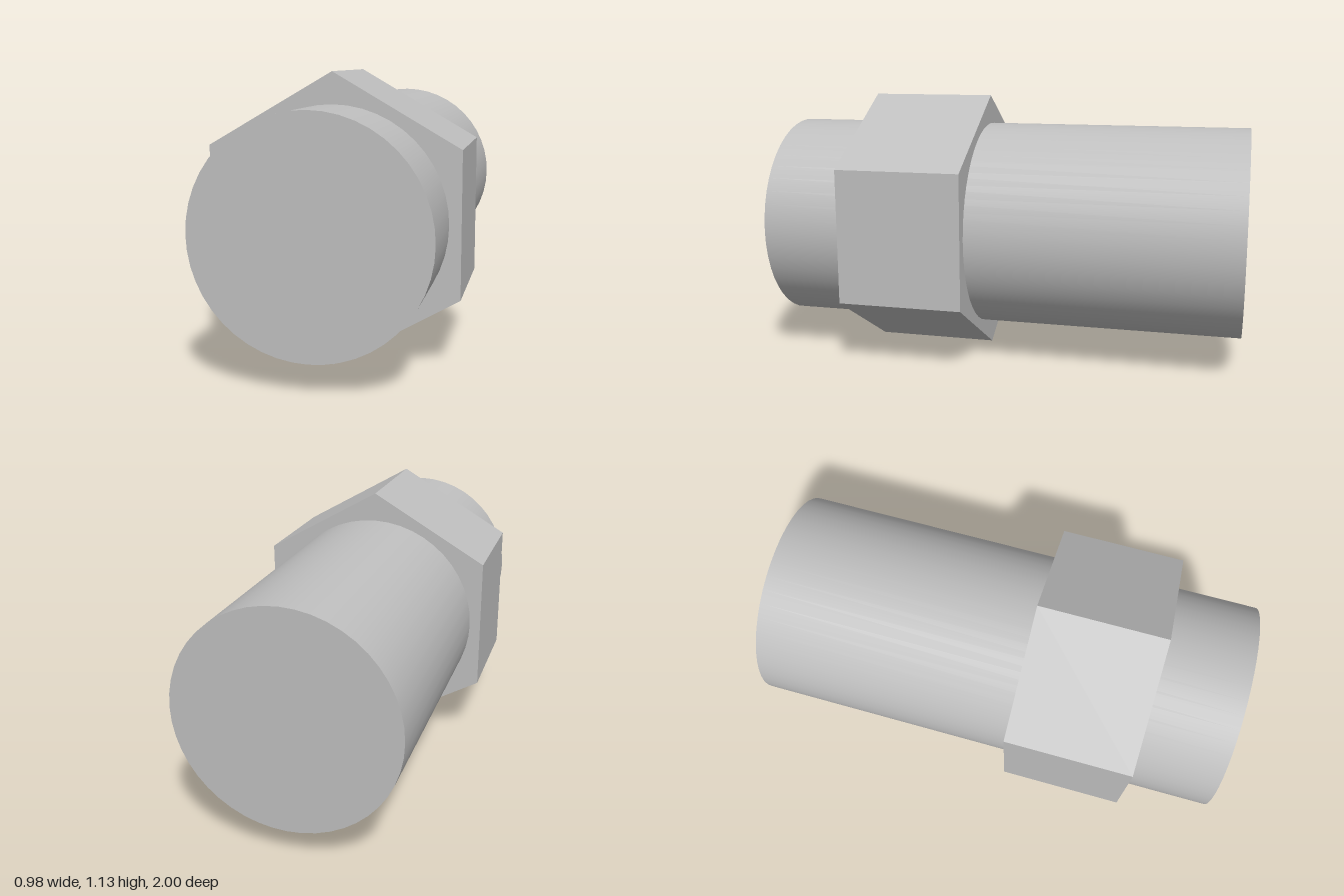
import * as THREE from 'three';

const AXIS_Y = 0.565; // height of the shared axis

// Solid prism or cylinder lying along z, from zBack to zFront
function barAlongZ(radius, zBack, zFront, sides) {
  const geometry = new THREE.CylinderGeometry(radius, radius, zFront - zBack, sides);
  geometry.rotateX(Math.PI / 2);
  geometry.translate(0, AXIS_Y, (zBack + zFront) / 2);
  return geometry;
}

export function createModel() {
  const group = new THREE.Group();
  group.name = 'hexCollarFitting';
  const steel = new THREE.MeshStandardMaterial({ color: 0xbfbfbf });
  steel.name = 'steelGrey';

  // Round shaft running the full length
  const shaft = new THREE.Mesh(barAlongZ(0.443, -1, 1, 48), steel);
  shaft.name = 'shaft';

  // Hexagonal collar with a corner up and flat-shaded sides
  const hex = barAlongZ(0.565, 0.115, 0.645, 6).toNonIndexed();
  hex.computeVertexNormals();
  const collar = new THREE.Mesh(hex, steel);
  collar.name = 'hexCollar';

  group.add(shaft, collar);
  return group;
}
